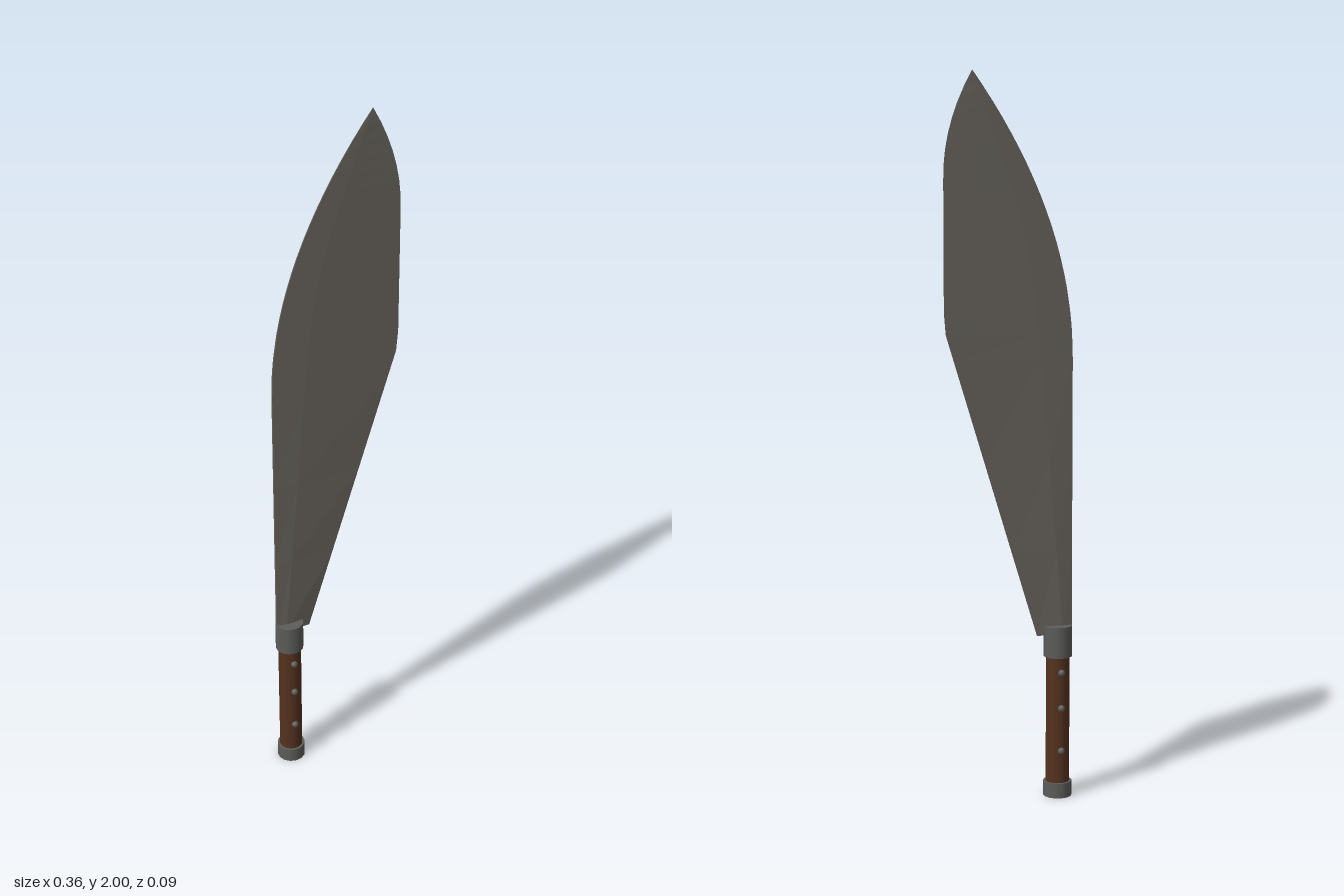
import * as THREE from 'three';

const GRIP_X = -0.143;

// Blade outline: x of the spine and of the cutting edge at height y
function spineX(y) {
  const t = Math.max(0, (y - 1.23) / 0.77);
  return -0.182 + 0.282 * t * t;
}
function edgeX(y) {
  if (y < 1.3) return -0.082 + (0.257 * (y - 0.46)) / 0.84;
  if (y < 1.36) return 0.175 + (0.005 * (y - 1.3)) / 0.06;
  const t = Math.max(0, (y - 1.72) / 0.28);
  return 0.18 - 0.08 * t * t;
}

// Wedge-shaped blade: flat spine, ridge near the spine, sharp edge
function bladeGeometry() {
  const heights = [0.46, 0.7, 0.95, 1.23, 1.3, 1.33, 1.36];
  for (let y = 1.42; y < 1.995; y += 0.0414) heights.push(y);
  heights.push(2);
  const pos = [], index = [], n = 5;
  for (const y of heights) {
    const s = spineX(y), e = edgeX(y);
    const k = 1 - 0.8 * (y - 0.46) / 1.54;
    const ridge = s + (e - s) * 0.27;
    const section = [
      [e, 0], [ridge, 0.009 * k], [s, 0.005 * k],
      [s, -0.005 * k], [ridge, -0.009 * k],
    ];
    for (const [x, z] of section) pos.push(x, y, z);
  }
  for (let i = 0; i < heights.length - 1; i++) {
    for (let j = 0; j < n; j++) {
      const a = i * n + j, b = i * n + (j + 1) % n;
      index.push(b, a, a + n, b, a + n, b + n);
    }
  }
  for (let j = 1; j < n - 1; j++) index.push(0, j, j + 1);
  const g = new THREE.BufferGeometry();
  g.setAttribute('position', new THREE.Float32BufferAttribute(pos, 3));
  g.setIndex(index);
  const flat = g.toNonIndexed();
  flat.computeVertexNormals();
  return flat;
}

export function createModel() {
  const group = new THREE.Group();
  const steel = new THREE.MeshStandardMaterial({ color: 0x66625c, flatShading: true });
  const iron = new THREE.MeshStandardMaterial({ color: 0x5c5c5a });
  const wood = new THREE.MeshStandardMaterial({ color: 0x54321f });

  const add = (name, geometry, material, x = 0, y = 0, z = 0) => {
    const mesh = new THREE.Mesh(geometry, material);
    mesh.name = name;
    mesh.position.set(x, y, z);
    group.add(mesh);
    return mesh;
  };
  const barrel = (name, r, y0, y1, material) =>
    add(name, new THREE.CylinderGeometry(r, r, y1 - y0, 14), material, GRIP_X, (y0 + y1) / 2);

  add('blade', bladeGeometry(), steel);

  // Handle with metal fittings at both ends
  barrel('grip', 0.033, 0.03, 0.42, wood);
  barrel('collar', 0.04, 0.4, 0.487, iron);
  barrel('pommel', 0.04, 0, 0.042, iron);

  // Rivets on both sides of the grip
  for (const y of [0.135, 0.257, 0.358]) {
    for (const side of [1, -1]) {
      const rivet = add('rivet', new THREE.SphereGeometry(0.01, 10, 8), iron, GRIP_X, y, side * 0.035);
      rivet.scale.z = 0.95;
    }
  }
  return group;
}
